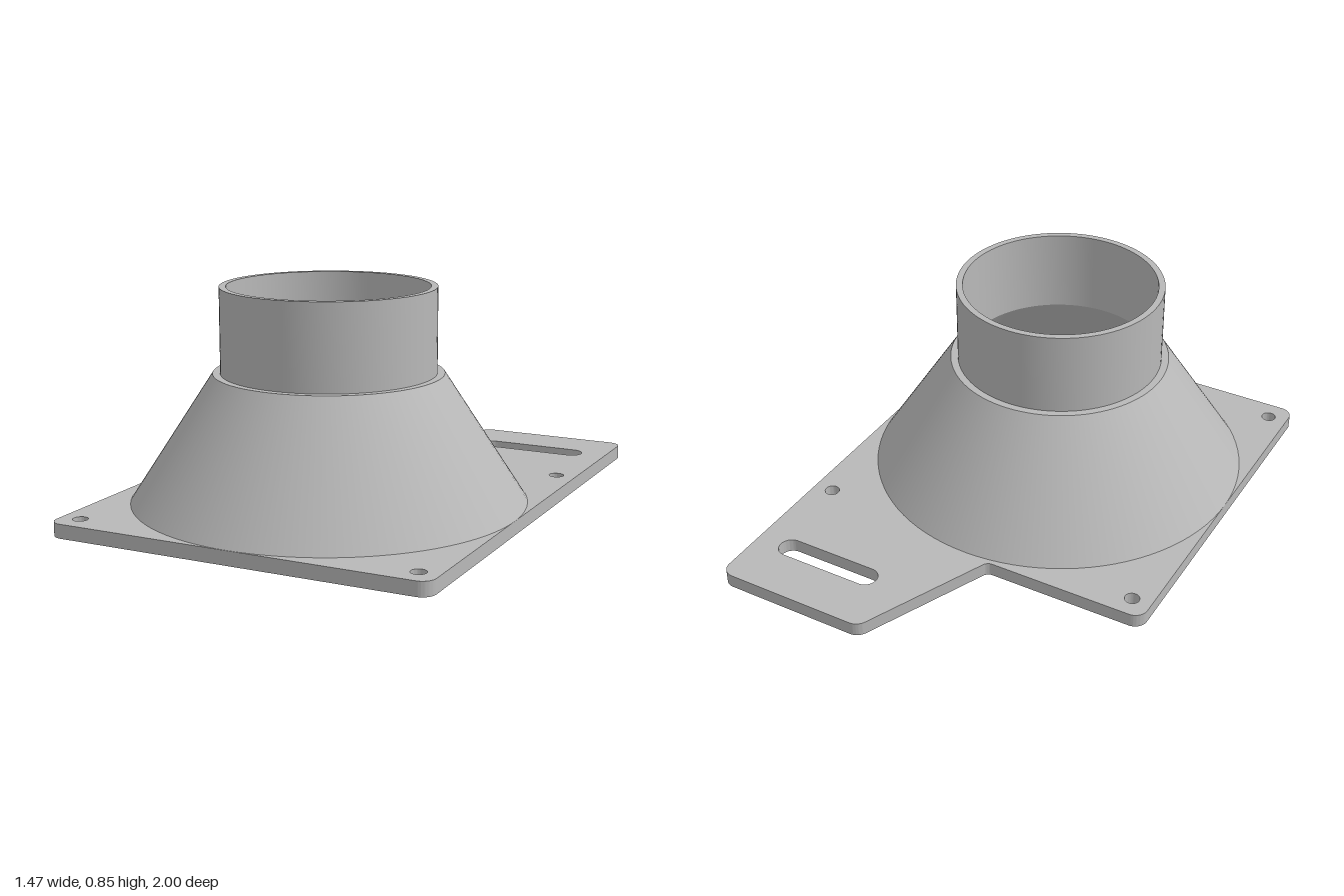
import * as THREE from 'three';
import { toCreasedNormals } from 'three/addons/utils/BufferGeometryUtils.js';

const PLATE = 0.053, CENTRE_Z = 0.265;

// Closed outline with every corner rounded; points are [x, y, radius].
function roundedOutline(points) {
  const shape = new THREE.Shape();
  const n = points.length;
  points.forEach(([x, y, r], i) => {
    const corner = new THREE.Vector2(x, y);
    const toward = (j) => new THREE.Vector2(points[j][0], points[j][1]).sub(corner).normalize();
    const prev = toward((i + n - 1) % n), next = toward((i + 1) % n);
    const cut = r / Math.tan(Math.acos(prev.dot(next)) / 2);
    const at = (dir, d) => corner.clone().addScaledVector(dir, d);
    const a = at(prev, cut), b = at(prev, cut * 0.45), c = at(next, cut * 0.45), d = at(next, cut);
    if (i === 0) shape.moveTo(a.x, a.y);
    else shape.lineTo(a.x, a.y);
    shape.bezierCurveTo(b.x, b.y, c.x, c.y, d.x, d.y);
  });
  shape.closePath();
  return shape;
}

function circleHole(x, z, r) {
  return new THREE.Path().absarc(x, -z, r, 0, Math.PI * 2, true);
}

export function createModel() {
  const group = new THREE.Group();
  const grey = new THREE.MeshStandardMaterial({ color: 0xb8b8b8 });
  grey.name = 'grey plastic';

  const add = (name, geometry, z = 0) => {
    const mesh = new THREE.Mesh(toCreasedNormals(geometry, 0.35), grey);
    mesh.name = name;
    mesh.position.z = z;
    group.add(mesh);
  };

  // Mounting plate with an offset tab at the back
  const outline = roundedOutline([
    [-0.733, -1, 0.05], [0.733, -1, 0.05], [0.733, 1, 0.05],
    [0.128, 1, 0.05], [-0.1, 0.478, 0.03], [-0.733, 0.478, 0.05],
  ]);
  outline.holes.push(circleHole(0, CENTRE_Z, 0.695));
  for (const x of [-0.656, 0.656]) {
    for (const z of [-0.396, 0.915]) outline.holes.push(circleHole(x, z, 0.028));
  }
  // Adjustment slot
  const slot = new THREE.Path();
  slot.absarc(0.252, 0.763, 0.046, Math.PI * 1.5, Math.PI / 2, true);
  slot.absarc(0.589, 0.763, 0.046, Math.PI / 2, -Math.PI / 2, true);
  slot.closePath();
  outline.holes.push(slot);
  const plate = new THREE.ExtrudeGeometry(outline, { depth: PLATE, bevelEnabled: false, curveSegments: 48 });
  plate.rotateX(-Math.PI / 2);
  add('mountingPlate', plate);

  // Hollow parts, profiled up the outside and down the inside
  const lathe = (profile) => new THREE.LatheGeometry(profile.map(([r, y]) => new THREE.Vector2(r, y)), 96);
  add('coneFunnel', lathe([[0.733, PLATE], [0.425, 0.527], [0.397, 0.527]]), CENTRE_Z);
  add('funnelInside', lathe([[0.372, 0.527], [0.695, PLATE]]), CENTRE_Z);
  add('pipeCollar', lathe([[0.397, 0.527], [0.397, 0.845], [0.372, 0.845], [0.372, 0.527]]), CENTRE_Z);

  return group;
}
